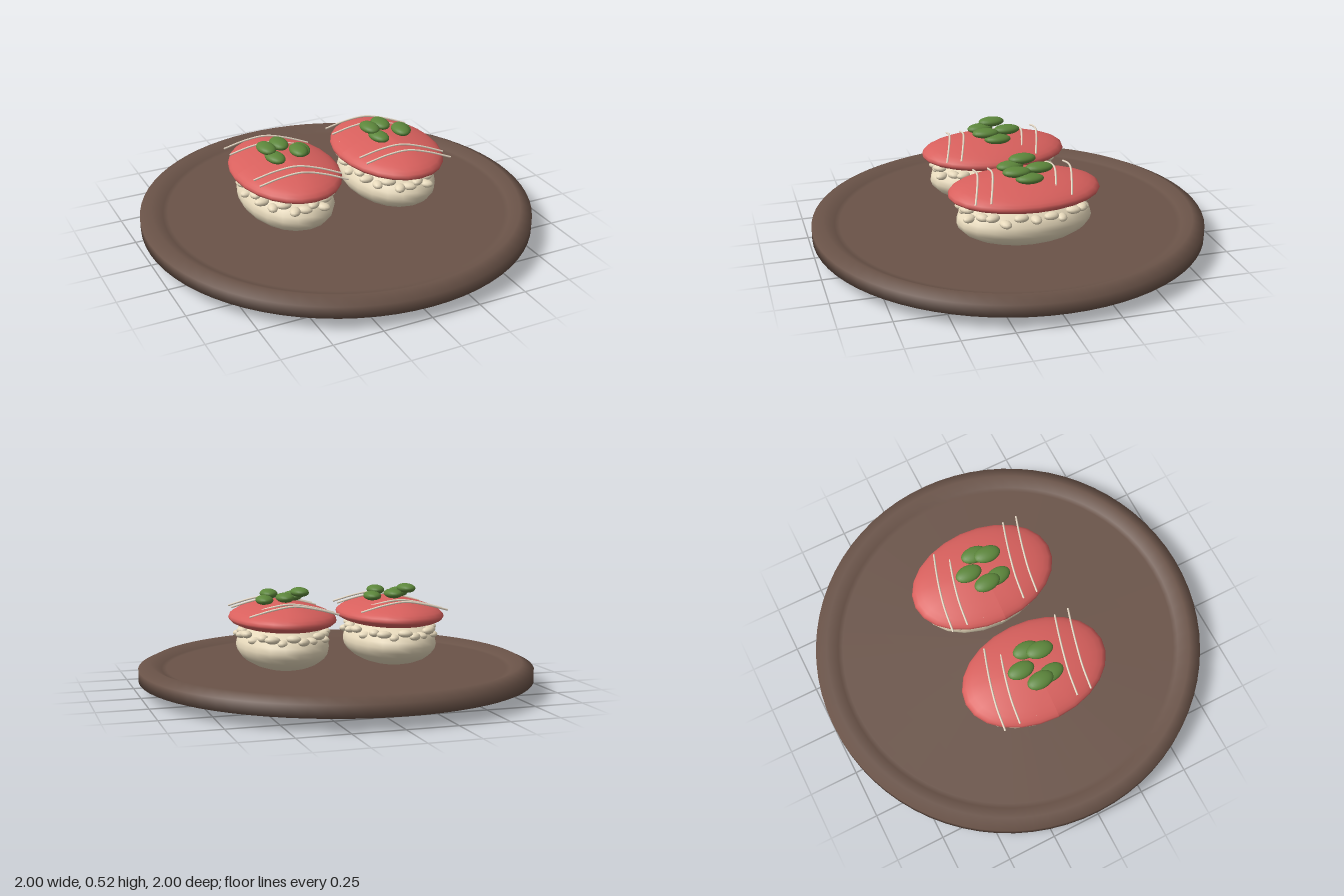
import * as THREE from 'three';

const mat = (name, color) => {
  const m = new THREE.MeshStandardMaterial({ color });
  m.name = name;
  return m;
};

export function createModel() {
  const plateBrown = mat('plateBrown', 0x6a5348);
  const riceCream = mat('riceCream', 0xebddbf);
  const fishRed = mat('fishRed', 0xd8605d);
  const leafGreen = mat('leafGreen', 0x5c863b);
  const sauceCream = mat('sauceCream', 0xeadcc8);

  const model = new THREE.Group();
  model.name = 'sushiPlate';

  const add = (parent, name, geometry, material) => {
    const mesh = new THREE.Mesh(geometry, material);
    mesh.name = name;
    parent.add(mesh);
    return mesh;
  };

  // Round plate: tapered underside, bevelled lip and a shallow sunken floor
  const profile = [[0, 0.003], [0.705, 0.003], [1, 0.062], [1, 0.122], [0.94, 0.15], [0.885, 0.12], [0.86, 0.118], [0, 0.118]]
    .map(([r, y]) => new THREE.Vector2(r, y));
  add(model, 'plate', new THREE.LatheGeometry(profile, 72), plateBrown);

  const ball = new THREE.SphereGeometry(1, 20, 14);
  const smallBall = new THREE.SphereGeometry(1, 12, 8);

  // Fish slice: an oval cushion, fuller and ridged on top
  const fishGeometry = new THREE.SphereGeometry(1, 24, 18);
  const p = fishGeometry.attributes.position;
  for (let i = 0; i < p.count; i++) {
    const x = p.getX(i), y = p.getY(i), z = p.getZ(i);
    const height = y > 0 ? 0.066 + 0.02 * (1 - Math.abs(x)) : 0.06;
    p.setXYZ(i, x * 0.262, y * height, z * 0.378);
  }
  fishGeometry.computeVertexNormals();

  // Leaf positions: x, y, z, turn
  const leaves = [
    [-0.088, 0.498, -0.015, 0.06], [0.004, 0.48, -0.073, 0], [0.09, 0.463, 0, -0.06],
    [-0.07, 0.473, 0.052, 0.12], [0.054, 0.488, 0.055, -0.08],
  ];

  const makePiece = (x) => {
    const piece = new THREE.Group();
    piece.name = 'sushiPiece';
    piece.position.x = x;
    model.add(piece);

    const rice = add(piece, 'riceBed', ball, riceCream);
    rice.scale.set(0.225, 0.122, 0.34);
    rice.position.y = 0.235;

    // Loose grains around the upper edge of the rice
    const count = 26;
    for (let i = 0; i < count; i++) {
      const a = (i / count) * Math.PI * 2;
      const grain = add(piece, 'riceGrain', smallBall, riceCream);
      const spread = 1 + 0.04 * Math.sin(i * 4.1);
      grain.position.set(Math.cos(a) * 0.2 * spread, 0.295 + 0.014 * Math.sin(i * 2.3), Math.sin(a) * 0.302 * spread);
      grain.scale.set(0.038, 0.019, 0.027);
      grain.rotation.y = i * 1.7;
    }

    const fish = add(piece, 'fishSlice', fishGeometry, fishRed);
    fish.position.y = 0.372;

    // Thin sauce threads draped across the fish, the middle ones sunk into it
    for (const [z, sink] of [[-0.27, 0], [-0.19, 0], [-0.1, 0.01], [0.04, 0.01], [0.125, 0], [0.2, 0]]) {
      const curve = new THREE.CatmullRomCurve3([
        new THREE.Vector3(-0.215, 0.412 - sink, z),
        new THREE.Vector3(-0.1, 0.442 - sink, z + 0.012),
        new THREE.Vector3(0, 0.456 - sink, z + 0.033),
        new THREE.Vector3(0.1, 0.438 - sink, z + 0.062),
        new THREE.Vector3(0.208, 0.403 - sink, z + 0.098),
      ]);
      add(piece, 'sauceThread', new THREE.TubeGeometry(curve, 20, 0.005, 8), sauceCream);
    }

    // Leaf garnish
    for (const [lx, ly, lz, turn] of leaves) {
      const leaf = add(piece, 'leaf', ball, leafGreen);
      leaf.position.set(lx, ly, lz);
      leaf.scale.set(0.044, 0.024, 0.069);
      leaf.rotation.y = turn;
    }
  };

  for (const x of [-0.285, 0.285]) makePiece(x);

  return model;
}
